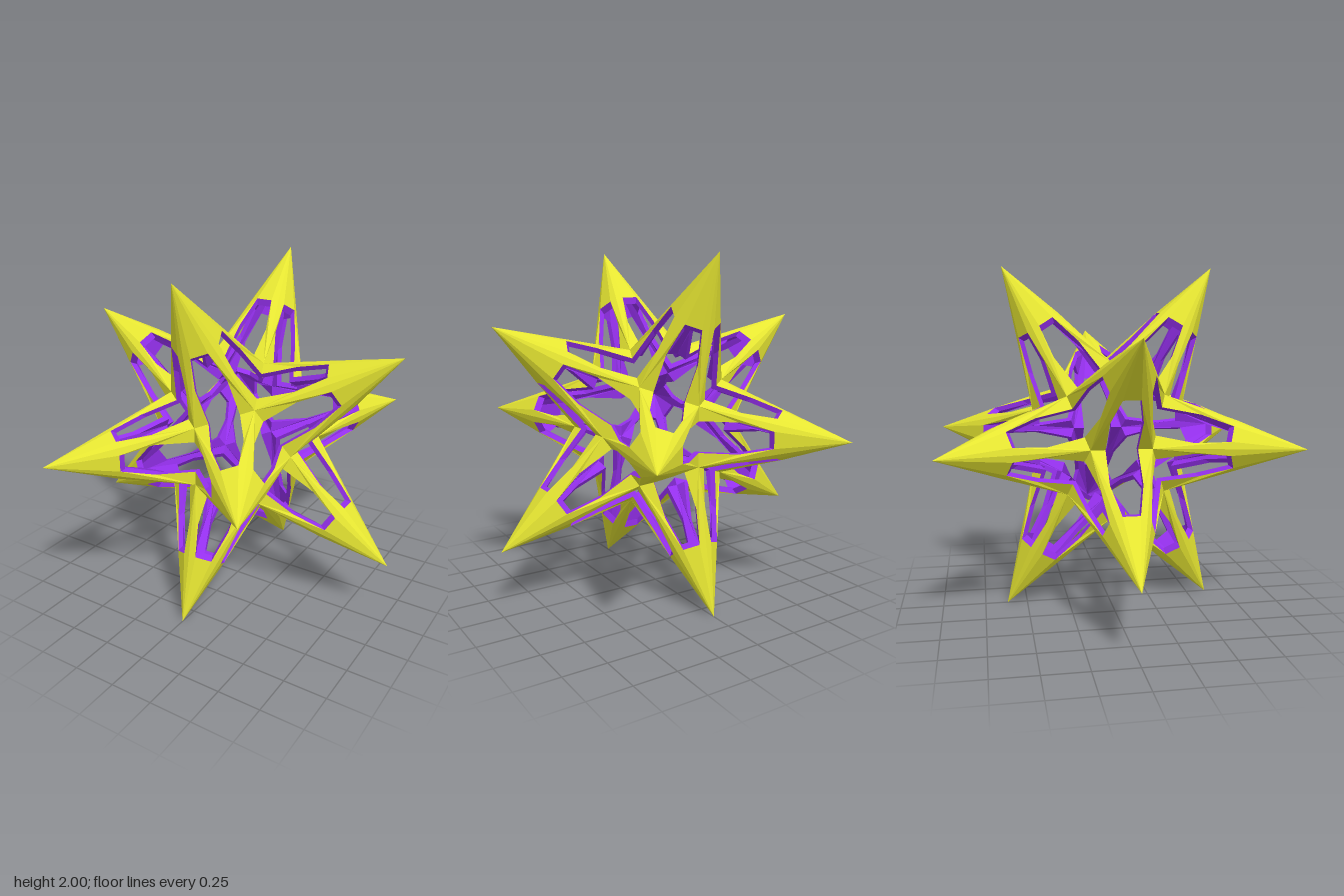
import * as THREE from 'three';

const PHI = (1 + Math.sqrt(5)) / 2;
const PIT = 0.279;      // size of the pit (dodecahedron) cage
const INNER = 0.91;     // scale of the inner shell
const WALL = 0.04;      // depth of the window edges
const V = (x, y, z) => new THREE.Vector3(x, y, z);

// All sign changes and cyclic shifts of (0, a, b)
function cyclicPoints(a, b) {
  const out = [];
  for (const s of [1, -1]) for (const t of [1, -1]) {
    out.push(V(0, s * a, t * b), V(t * b, 0, s * a), V(s * a, t * b, 0));
  }
  return out;
}

function toMesh(name, points, color) {
  const geo = new THREE.BufferGeometry().setFromPoints(points);
  geo.computeVertexNormals();
  const mesh = new THREE.Mesh(geo, new THREE.MeshStandardMaterial({ color, flatShading: true }));
  mesh.name = name;
  mesh.position.y = 1;
  return mesh;
}

export function createModel() {
  const tips = cyclicPoints(1, 1 / PHI);
  const pits = cyclicPoints(PIT / PHI, PIT * PHI);
  for (const x of [-PIT, PIT]) for (const y of [-PIT, PIT]) for (const z of [-PIT, PIT]) pits.push(V(x, y, z));

  const outer = [], inner = [], walls = [];

  // One spike side: a triangle from the tip to two pits, with half a window cut in it
  function addSide(tip, p, q) {
    const mid = p.clone().add(q).multiplyScalar(0.5);
    const depth = mid.clone().normalize().multiplyScalar(-WALL);
    const across = p.clone().sub(q).normalize();
    const normal = p.clone().sub(tip).cross(q.clone().sub(tip)).normalize();
    const rim = (t, w, lift) => mid.clone().lerp(tip, t).addScaledVector(across, w).addScaledVector(normal, lift);

    const left = [rim(0.5, 0.048, 0.015), rim(0.267, 0.09, 0), rim(0, 0.09, 0)];
    const right = [rim(0.5, -0.048, 0.015), rim(0.267, -0.09, 0), rim(0, -0.09, 0)];
    const sink = (v) => v.clone().add(depth);
    const shrink = (v) => v.clone().multiplyScalar(INNER);

    const surface = (A, P, Q, [a, b, c], [d, e, f]) => [
      A, a, d,
      A, P, a, P, b, a, P, c, b,
      A, d, Q, Q, d, e, Q, e, f,
    ];
    outer.push(...surface(tip, p, q, left, right));
    inner.push(...surface(shrink(tip), shrink(p), shrink(q), left.map(sink), right.map(sink)).reverse());

    // Window edge joining the two shells
    const loop = [right[2], right[1], right[0], left[0], left[1], left[2]];
    for (let i = 0; i < 5; i++) {
      const a = loop[i], b = loop[i + 1];
      walls.push(a, b, sink(b), a, sink(b), sink(a));
    }
  }

  // Each tip is joined to its five nearest pits, taken in neighbouring pairs
  for (const tip of tips) {
    const near = [...pits].sort((a, b) => a.distanceTo(tip) - b.distanceTo(tip)).slice(0, 5);
    for (const p of near) for (const q of near) {
      if (p === q || p.distanceTo(q) > PIT * 1.4) continue;
      // keep only the order that faces outward
      const n = p.clone().sub(tip).cross(q.clone().sub(tip));
      if (n.dot(tip) > 0) addSide(tip, p, q);
    }
  }

  const group = new THREE.Group();
  group.name = 'openStar';
  group.add(
    toMesh('outerShell', outer, 0xe6e632),
    toMesh('innerShell', inner, 0x9430ec),
    toMesh('windowEdges', walls, 0x9430ec),
  );
  return group;
}
